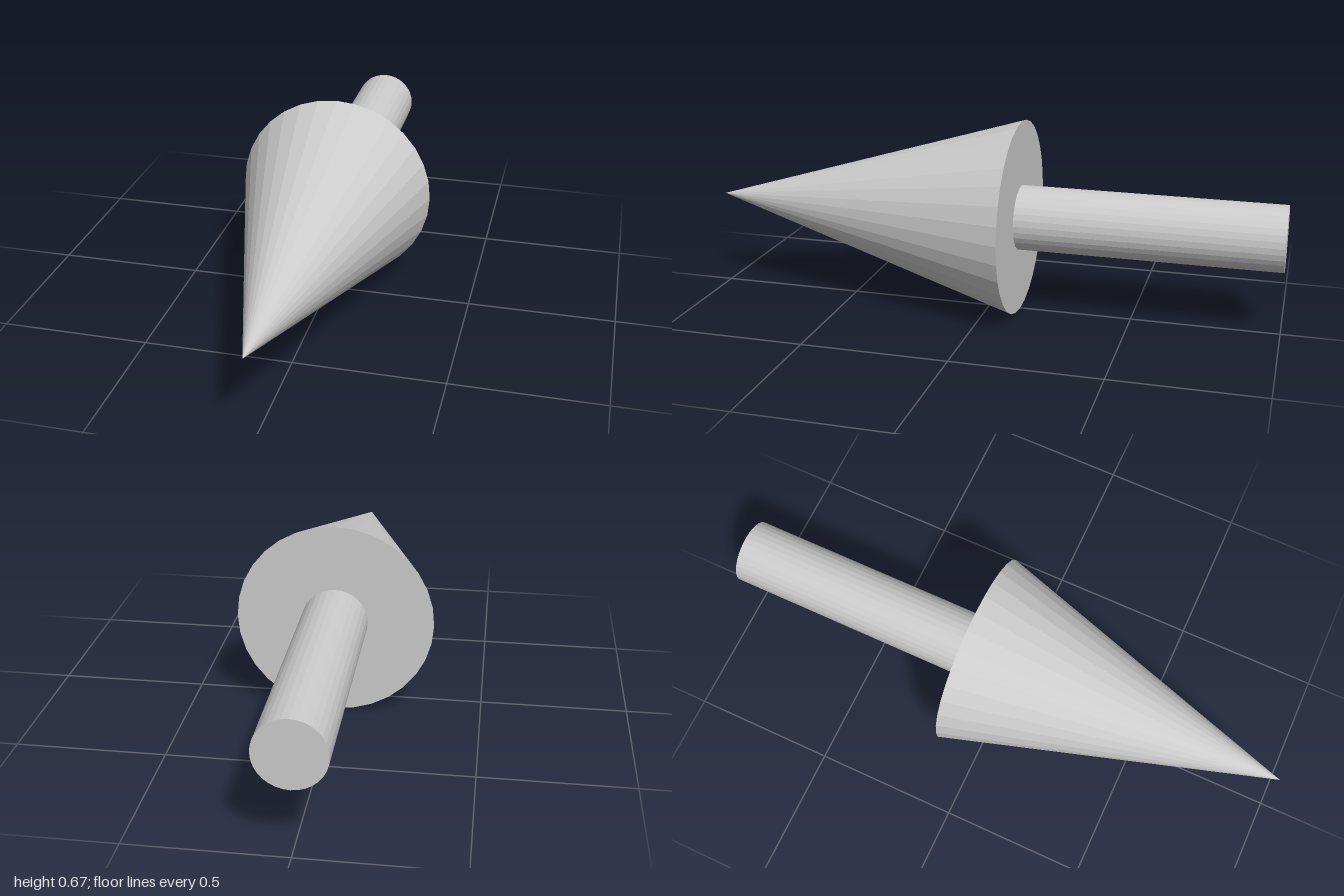
import * as THREE from 'three';

const SIDES = 32;
const HEAD_RADIUS = 1 / 3;
const SHAFT_RADIUS = 1 / 9;
const HEAD_BASE_Z = -1 / 9;

// Round part lying along z, tapering from backRadius to frontRadius
function roundPart(name, frontRadius, backRadius, backZ, frontZ, material) {
  const length = frontZ - backZ;
  const geometry = new THREE.CylinderGeometry(frontRadius, backRadius, length, SIDES);
  geometry.rotateX(Math.PI / 2);
  const mesh = new THREE.Mesh(geometry, material);
  mesh.name = name;
  mesh.position.set(0, HEAD_RADIUS, (backZ + frontZ) / 2);
  return mesh;
}

export function createModel() {
  const group = new THREE.Group();
  group.name = 'arrow';
  const material = new THREE.MeshStandardMaterial({ color: 0xcccccc, flatShading: true });

  // Pointed head facing the front, and the shaft behind it
  group.add(roundPart('arrowHead', 0, HEAD_RADIUS, HEAD_BASE_Z, 1, material));
  group.add(roundPart('arrowShaft', SHAFT_RADIUS, SHAFT_RADIUS, -1, HEAD_BASE_Z, material));
  return group;
}
